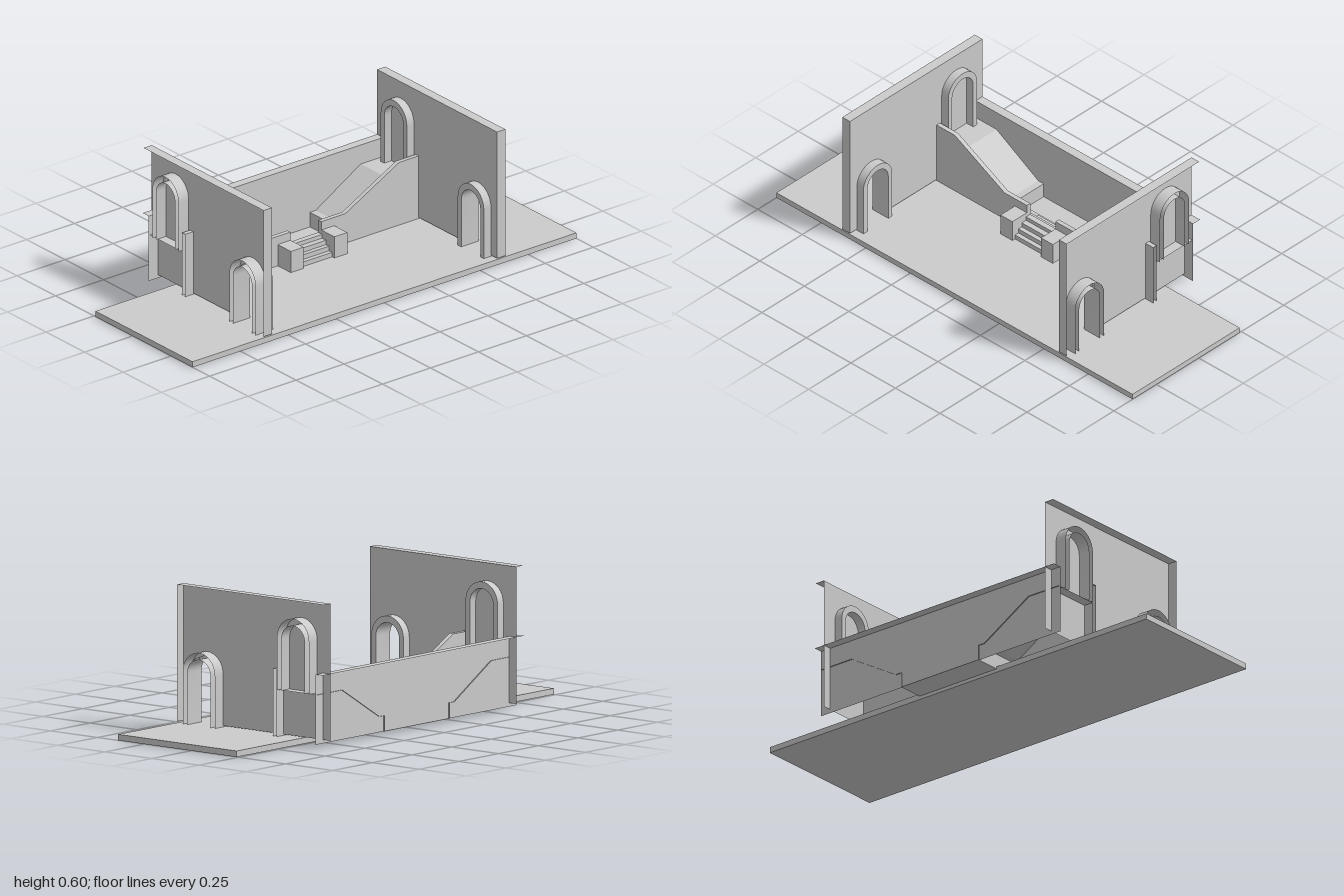
import * as THREE from 'three';
import { toCreasedNormals } from 'three/addons/utils/BufferGeometryUtils.js';

const material = new THREE.MeshStandardMaterial({ color: 0xcccccc, side: THREE.DoubleSide });

function add(parent, name, geometry) {
  const mesh = new THREE.Mesh(geometry, material);
  mesh.name = name;
  parent.add(mesh);
  return mesh;
}

function box(parent, name, x0, x1, y0, y1, z0, z1) {
  const g = new THREE.BoxGeometry(x1 - x0, y1 - y0, z1 - z0);
  g.translate((x0 + x1) / 2, (y0 + y1) / 2, (z0 + z1) / 2);
  return add(parent, name, g);
}

// Flat panel from an outline, facing +z at depth w
function panel(points, w) {
  const shape = new THREE.Shape(points.map(([u, v]) => new THREE.Vector2(u, v)));
  return new THREE.ShapeGeometry(shape).translate(0, 0, w);
}

// Open band: a polyline swept from depth w0 to w1
function band(points, w0, w1) {
  const pos = [];
  for (let i = 0; i < points.length - 1; i++) {
    const [a, b] = points[i], [c, d] = points[i + 1];
    pos.push(a, b, w0, a, b, w1, c, d, w1, a, b, w0, c, d, w1, c, d, w0);
  }
  const g = new THREE.BufferGeometry();
  g.setAttribute('position', new THREE.Float32BufferAttribute(pos, 3));
  g.computeVertexNormals();
  return toCreasedNormals(g, 0.5);
}

// Turns (u, v, w) into z = u, y = v, x = -w
const sideways = (g) => g.rotateY(-Math.PI / 2);

// Round-topped outline of an arch
function archPath(z, r, y0, spring) {
  const pts = [[z + r, y0]];
  for (let i = 0; i <= 16; i++) {
    const a = (Math.PI * i) / 16;
    pts.push([z + r * Math.cos(a), spring + r * Math.sin(a)]);
  }
  pts.push([z - r, y0]);
  return pts;
}

// Arch surround, open on the outside of the wall
function archFrame(parent, name, z, y) {
  const group = new THREE.Group();
  group.name = name;
  const outer = archPath(z, 0.085, y, y + 0.217);
  const inner = archPath(z, 0.062, y, y + 0.212);
  add(group, 'archFace', sideways(panel([...outer, ...inner.slice().reverse()], -0.55)));
  add(group, 'archOuterRim', sideways(band(outer, -0.64, -0.55)));
  add(group, 'archInnerRim', sideways(band(inner, -0.64, -0.55)));
  parent.add(group);
}

export function createModel() {
  const model = new THREE.Group();
  model.name = 'courtyard';
  box(model, 'groundSlab', -1, 1, 0, 0.025, -0.24, 0.39);

  for (const s of [1, -1]) {
    const side = new THREE.Group();
    side.name = s > 0 ? 'leftSide' : 'rightSide';
    side.scale.x = s;
    model.add(side);

    // Side wall: inner skin with a doorway, top and front edge
    const skin = [[0.39, 0.03], [0.39, 0.595], [-0.39, 0.595], [-0.39, 0.03],
      [0.19, 0.03], [0.19, 0.265], [0.26, 0.315], [0.337, 0.285], [0.345, 0.03]];
    add(side, 'sideWall', sideways(panel(skin, -0.587)));
    add(side, 'sideWallEdge', sideways(band([[0.39, 0.03], [0.39, 0.595], [-0.39, 0.595]], -0.63, -0.587)));

    archFrame(side, 'lowerArch', 0.265, 0.025);
    archFrame(side, 'upperArch', -0.235, 0.22);

    // Retaining wall with a sloping coping
    const coping = [[0.63, 0.305], [0.485, 0.305], [0.205, 0.157], [0.08, 0.157], [0.08, 0.025]];
    const face = [...coping, [0.63, 0.025]];
    add(side, 'retainingWallFront', panel(face, -0.12));
    add(side, 'retainingWallBack', panel(face, -0.14));
    add(side, 'retainingWallCoping', band(coping, -0.14, -0.12));

    // Upper terrace, ramp and drop to the sunken floor
    const ramp = [[0.63, 0.22], [0.47, 0.22], [0.235, 0.08], [0.205, 0.08], [0.205, 0.015]];
    add(side, 'terraceRamp', band(ramp, -0.355, -0.14));

    box(side, 'stairPedestal', 0.08, 0.147, 0.025, 0.12, -0.12, -0.035);
  }

  // Sunken floor between the ramps
  add(model, 'sunkenFloor', band([[-0.205, 0.015], [0.205, 0.015]], -0.355, -0.14));

  // Back wall: inner skin and top
  add(model, 'backWall', panel([[-0.635, 0.015], [0.635, 0.015], [0.635, 0.305], [-0.635, 0.305]], -0.35));
  add(model, 'backWallTop', band([[-0.635, 0.305], [0.635, 0.305]], -0.39, -0.35));

  // Stairs over the retaining wall: front flight, then wider rear flight
  [[0.045, -0.05], [0.065, -0.07], [0.085, -0.09], [0.102, -0.115]].forEach(([h, z], i, all) => {
    const zBack = i < 3 ? all[i + 1][1] : -0.14;
    box(model, 'frontStep', -0.08, 0.08, 0.02, h, zBack, z);
  });
  box(model, 'rearStep', -0.108, 0.108, 0.015, 0.075, -0.175, -0.14);
  box(model, 'rearStep', -0.108, 0.108, 0.015, 0.045, -0.215, -0.175);

  return model;
}
